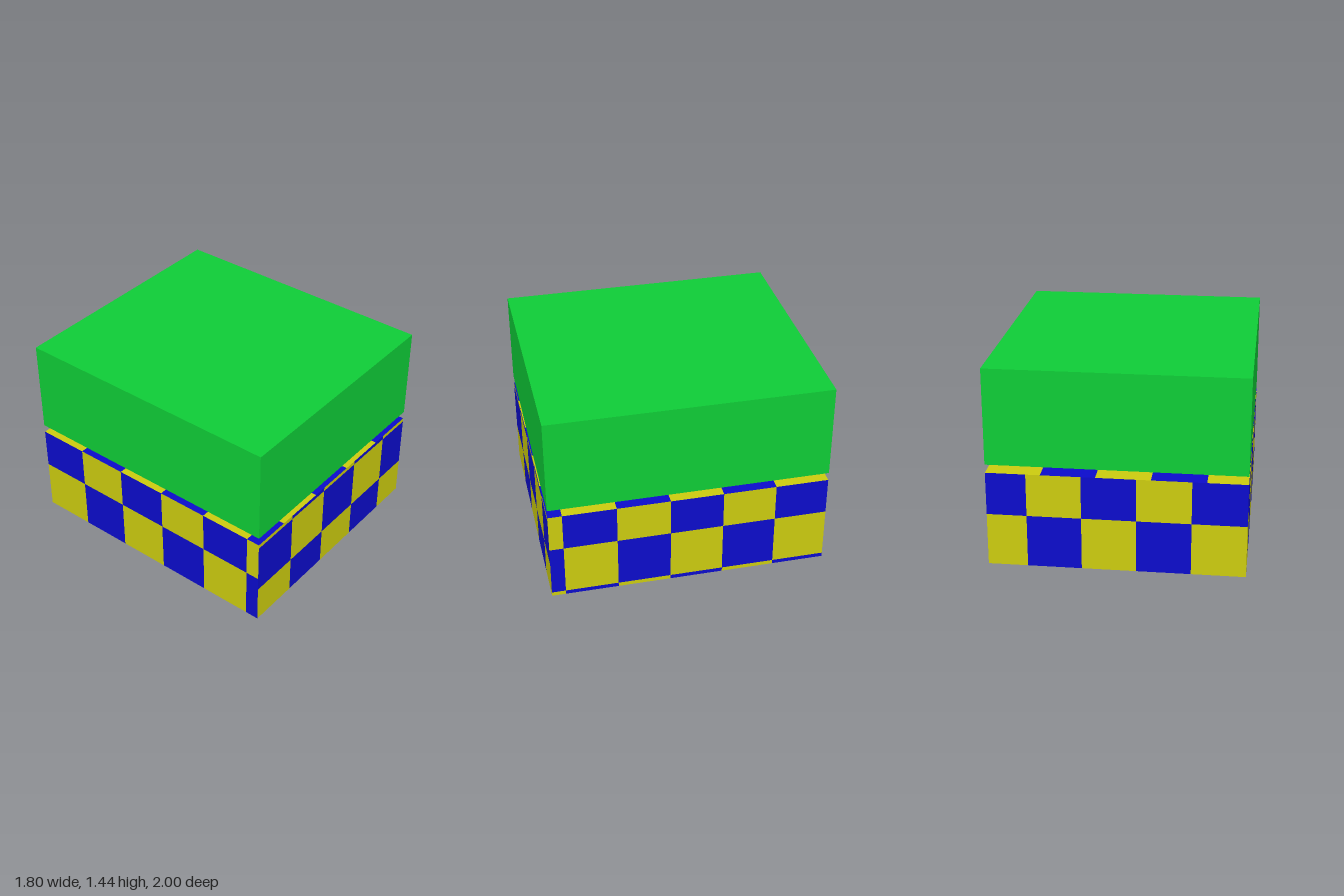
import * as THREE from 'three';
import { mergeGeometries } from 'three/addons/utils/BufferGeometryUtils.js';

const W = 1.8, H = 0.69, D = 2, GAP = 0.06, CELL = 0.38;

function material(name, color) {
  const m = new THREE.MeshStandardMaterial({ color });
  m.name = name;
  return m;
}

// Chequered rectangle, w by h, whose grid starts at (u0, v0) and is clipped to the rectangle
function checkerFace(name, w, h, u0, v0, materials) {
  const cells = [[], []];
  for (let i = 0; u0 + i * CELL < w / 2 - 1e-6; i++) {
    for (let j = 0; v0 + j * CELL < h / 2 - 1e-6; j++) {
      const l = Math.max(-w / 2, u0 + i * CELL), r = Math.min(w / 2, u0 + (i + 1) * CELL);
      const b = Math.max(-h / 2, v0 + j * CELL), t = Math.min(h / 2, v0 + (j + 1) * CELL);
      if (r - l < 1e-6 || t - b < 1e-6) continue;
      cells[(i + j) % 2].push(
        new THREE.PlaneGeometry(r - l, t - b).translate((l + r) / 2, (b + t) / 2, 0));
    }
  }
  const geometry = mergeGeometries(cells.map((c) => mergeGeometries(c)), true);
  const mesh = new THREE.Mesh(geometry, materials);
  mesh.name = name;
  return mesh;
}

export function createModel() {
  const green = material('green', 0x0fcd37);
  const checks = [material('yellow', 0xcccc0f), material('blue', 0x0c0ccc)];
  const model = new THREE.Group();
  model.name = 'stackedBlocks';

  // Lower block: six chequered faces, each with its own grid offset
  const lower = new THREE.Group();
  lower.name = 'checkeredBlock';
  lower.position.y = H / 2;
  const q = Math.PI / 2;
  const faces = [
    // name, width, height, grid start, position, rotation
    ['frontFace', W, H, -0.9, -0.445, [0, 0, D / 2], [0, 0, 0]],
    ['backFace', W, H, -1.0, -0.345, [0, 0, -D / 2], [0, 2 * q, 0]],
    ['plusXFace', D, H, -1.28, -0.695, [W / 2, 0, 0], [0, q, 0]],
    ['minusXFace', D, H, -1.0, -0.345, [-W / 2, 0, 0], [0, -q, 0]],
    ['topFace', W, D, -1.38, -1.28, [0, H / 2, 0], [-q, 0, 0]],
    ['bottomFace', W, D, -1.0, -1.0, [0, -H / 2, 0], [q, 0, 0]],
  ];
  for (const [name, w, h, u0, v0, position, rotation] of faces) {
    const face = checkerFace(name, w, h, u0, v0, checks);
    face.position.set(...position);
    face.rotation.set(...rotation);
    lower.add(face);
  }
  model.add(lower);

  // Upper block: plain, floating just above
  const upper = new THREE.Mesh(new THREE.BoxGeometry(W, H, D), green);
  upper.name = 'upperBlock';
  upper.position.y = H + GAP + H / 2;
  model.add(upper);
  return model;
}
